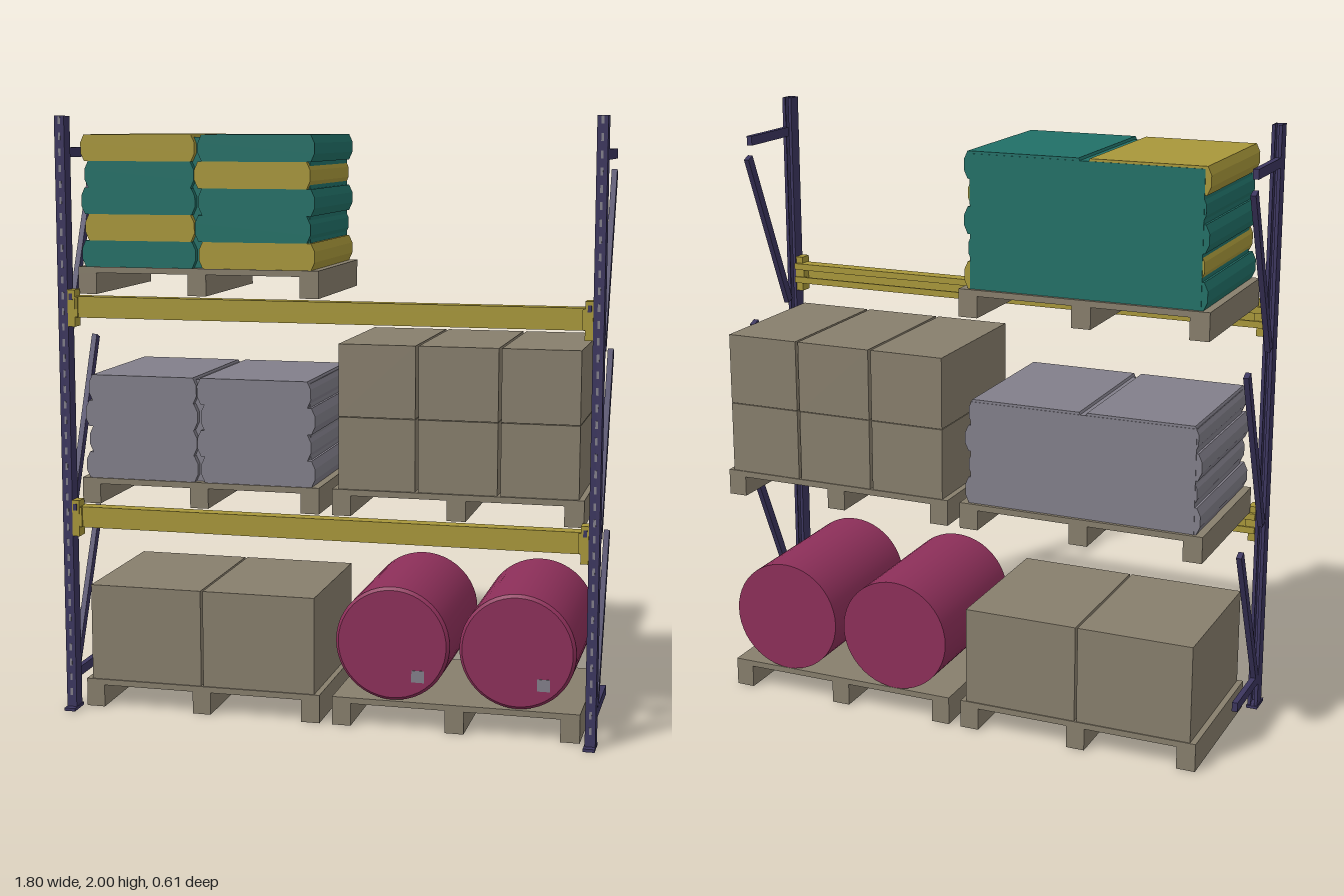
import * as THREE from 'three';

const mat = (name, color) => {
  const m = new THREE.MeshStandardMaterial({ color });
  m.name = name;
  return m;
};

export function createModel() {
  const navy = mat('navy steel', 0x3c365f);
  const yellow = mat('yellow', 0xa8973a);
  const teal = mat('teal', 0x217067);
  const tan = mat('tan cardboard and wood', 0x877e6c);
  const maroon = mat('maroon', 0x8c2f59);
  const grey = mat('grey', 0x827f8a);

  const root = new THREE.Group();
  root.name = 'loadedPalletRack';

  const group = (name, parent = root) => {
    const g = new THREE.Group();
    g.name = name;
    parent.add(g);
    return g;
  };
  const add = (parent, name, geo, material) => {
    const mesh = new THREE.Mesh(geo, material);
    mesh.name = name;
    parent.add(mesh);
    return mesh;
  };
  // box given by its minimum and maximum on each axis
  const box = (parent, name, material, x0, x1, y0, y1, z0, z1) => {
    const m = add(parent, name, new THREE.BoxGeometry(Math.abs(x1 - x0), y1 - y0, z1 - z0), material);
    m.position.set((x0 + x1) / 2, (y0 + y1) / 2, (z0 + z1) / 2);
    return m;
  };
  const prism = (points, depth) => new THREE.ExtrudeGeometry(
    new THREE.Shape(points.map(([x, y]) => new THREE.Vector2(x, y))),
    { depth, bevelEnabled: false });

  // C channel profile, w wide and d deep, open at the back
  const channel = (w, d, t, lip) => [
    [-w / 2, 0], [-w / 2 + lip, 0], [-w / 2 + lip, t], [-w / 2 + t, t],
    [-w / 2 + t, d - t], [w / 2 - t, d - t], [w / 2 - t, t],
    [w / 2 - lip, t], [w / 2 - lip, 0], [w / 2, 0], [w / 2, d], [-w / 2, d],
  ];

  // uprights with foot, slots and braces
  for (const s of [-1, 1]) {
    const frame = group(s > 0 ? 'leftUpright' : 'rightUpright');
    const post = add(frame, 'post', prism(channel(0.034, 0.05, 0.005, 0.011), 2), navy);
    post.rotation.x = -Math.PI / 2;
    // after the turn the profile depth runs towards -z, so spin it to face front
    post.geometry.rotateZ(Math.PI);
    post.position.set(s * 0.882, 0, 0.231);
    box(frame, 'foot', navy, s * 0.862, s * 0.9, 0, 0.01, 0.225, 0.305);
    for (let y = 0.05; y < 1.98; y += 0.052) {
      box(frame, 'slot', grey, s * 0.882 - 0.004, s * 0.882 + 0.004, y, y + 0.024, 0.28, 0.2818);
    }
    for (const y of [0.095, 1.865]) {
      box(frame, 'horizontalBrace', navy, s * 0.88, s * 0.899, y, y + 0.032, -0.018, 0.235);
    }
    for (const [y0, y1] of [[0.125, 0.65], [0.677, 1.25], [1.277, 1.825]]) {
      const dy = y1 - y0, dz = -0.243;
      const b = add(frame, 'diagonalBrace', new THREE.BoxGeometry(0.018, Math.hypot(dy, dz), 0.03), navy);
      b.rotation.x = Math.atan2(dz, dy);
      b.position.set(s * 0.89, (y0 + y1) / 2, 0.215 + dz / 2);
    }
  }

  // front beams with end plates and locking pins
  for (const y of [0.635, 1.342]) {
    const level = group('beamLevel');
    const beam = add(level, 'beam', prism(channel(0.07, 0.05, 0.008, 0.022), 1.73), yellow);
    beam.geometry.rotateZ(Math.PI / 2).rotateY(Math.PI / 2);
    // profile: width now along y, depth along z
    beam.geometry.computeBoundingBox();
    const bb = beam.geometry.boundingBox;
    if (bb.max.z < 0.01) beam.geometry.rotateY(Math.PI);
    beam.geometry.center();
    beam.position.set(0, y + 0.035, 0.248);
    for (const s of [-1, 1]) {
      box(level, 'endPlate', yellow, s * 0.84, s * 0.865, y - 0.03, y + 0.092, 0.236, 0.283);
      box(level, 'endPlateTab', yellow, s * 0.832, s * 0.865, y + 0.002, y + 0.068, 0.23, 0.281);
      box(level, 'lockingPin', navy, s * 0.848, s * 0.86, y + 0.058, y + 0.08, 0.28, 0.286);
    }
  }

  // pallets: a deck on three long runners
  const pallet = (x, y, h) => {
    const p = group('pallet');
    box(p, 'deck', tan, x, x + 0.823, y + h - 0.02, y + h, -0.304, 0.227);
    for (const dx of [0, 0.38, 0.76]) {
      box(p, 'runner', tan, x + dx, x + dx + 0.063, y, y + h - 0.02, -0.304, 0.227);
    }
  };
  const L = -0.847, R = 0.02;
  pallet(L, 0, 0.096);
  pallet(R, 0, 0.096);
  pallet(L, 0.71, 0.087);
  pallet(R, 0.71, 0.087);
  pallet(L, 1.417, 0.09);

  // cartons
  const cartons = group('cartons');
  for (const [x0, x1] of [[-0.827, -0.438], [-0.43, -0.043]]) {
    box(cartons, 'largeCarton', tan, x0, x1, 0.096, 0.425, -0.3, 0.222);
  }
  for (const [x0, x1] of [[0.04, 0.294], [0.304, 0.563], [0.573, 0.825]]) {
    for (const y of [0.797, 1.036]) {
      box(cartons, 'carton', tan, x0, x1, y, y + 0.237, -0.3, 0.218);
    }
  }

  // drums lying on their sides
  for (const x of [0.222, 0.636]) {
    const drum = group('drum');
    drum.position.set(x, 0.288, 0);
    const body = add(drum, 'drumBody', new THREE.CylinderGeometry(0.191, 0.191, 0.521, 48), maroon);
    body.rotation.x = Math.PI / 2;
    body.position.z = -0.0445;
    const rim = add(drum, 'drumRim', new THREE.CylinderGeometry(0.181, 0.191, 0.01, 48), maroon);
    rim.rotation.x = Math.PI / 2;
    rim.position.z = 0.221;
    box(drum, 'drumLabel', grey, 0.066, 0.108, -0.124, -0.084, 0.225, 0.228);
  }

  // sacks with bulging ends, staggered layer by layer around a solid core
  const sack = (parent, material, x0, x1, y, h) => {
    const c = 0.012, a = h * 0.3;
    const geo = prism([
      [x0 + c, y], [x1 - c, y], [x1, y + a], [x1, y + h - a],
      [x1 - c, y + h], [x0 + c, y + h], [x0, y + h - a], [x0, y + a],
    ], 0.512);
    add(parent, 'sack', geo, material).position.z = -0.29;
  };
  const stack = (name, y, h, layers, core) => {
    const g = group(name);
    layers.forEach(([a, b], i) => {
      const odd = i % 2;
      sack(g, a, odd ? -0.82 : -0.833, odd ? -0.443 : -0.44, y + i * h, h);
      sack(g, b, odd ? -0.441 : -0.428, odd ? -0.052 : -0.038, y + i * h, h);
    });
    box(g, 'stackCore', core, -0.814, -0.058, y, y + h * layers.length - 0.008, -0.292, 0.2);
  };
  stack('greySacks', 0.797, 0.0873, Array(4).fill([grey, grey]), grey);
  stack('colouredSacks', 1.507, 0.0866, [
    [teal, yellow], [yellow, teal], [teal, teal], [teal, yellow], [yellow, teal],
  ], teal);

  return root;
}
